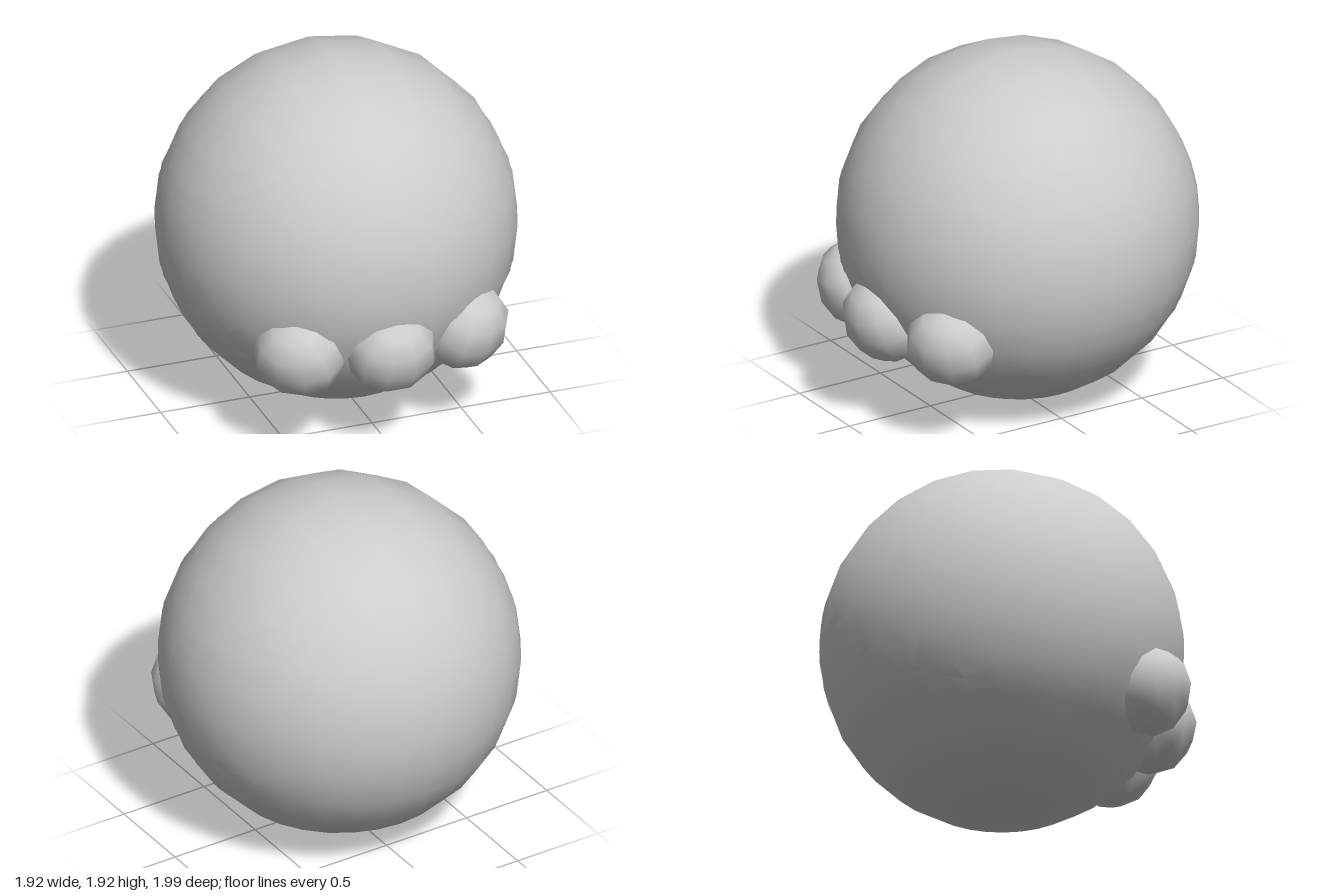
import * as THREE from 'three';

export function createModel() {
  const model = new THREE.Group();
  const grey = new THREE.MeshStandardMaterial({ color: 0xcccccc });
  grey.name = 'plainGrey';
  const greyShell = new THREE.MeshStandardMaterial({ color: 0xcccccc, side: THREE.DoubleSide });
  greyShell.name = 'plainGreyShell';

  const R = 0.96, centre = [0, 0.962, -0.04];

  function add(name, geometry, material, position) {
    const mesh = new THREE.Mesh(geometry, material);
    mesh.name = name;
    mesh.position.set(...position);
    model.add(mesh);
    return mesh;
  }

  // Ball body, with its crown slightly flattened beneath the shell
  const ball = new THREE.SphereGeometry(R, 28, 14);
  const p = ball.attributes.position;
  for (let i = 0; i < p.count; i++) {
    if (p.getY(i) > 0) p.setY(i, p.getY(i) * 0.98);
  }
  add('body', ball, grey, centre);

  // Upper shell wrapped over the body, poles at front and back
  const shell = new THREE.SphereGeometry(R, 14, 14, Math.PI * 0.8, Math.PI * 1.4);
  shell.rotateX(Math.PI / 2);
  add('upperShell', shell, greyShell, centre);

  // Three rounded bumps lying along the lower front
  const bump = new THREE.SphereGeometry(1, 10, 6);
  bump.scale(0.245, 0.235, 0.2);
  const bumps = [
    ['rightBump', -0.475, 0.67, -0.62],
    ['middleBump', 0, 0.795, 0],
    ['leftBump', 0.475, 0.67, 0.62],
  ];
  for (const [name, x, z, yaw] of bumps) {
    const mesh = add(name, bump, grey, [x, 0.567, z]);
    mesh.rotation.set(0.42, yaw, 0, 'YXZ');
  }

  return model;
}
